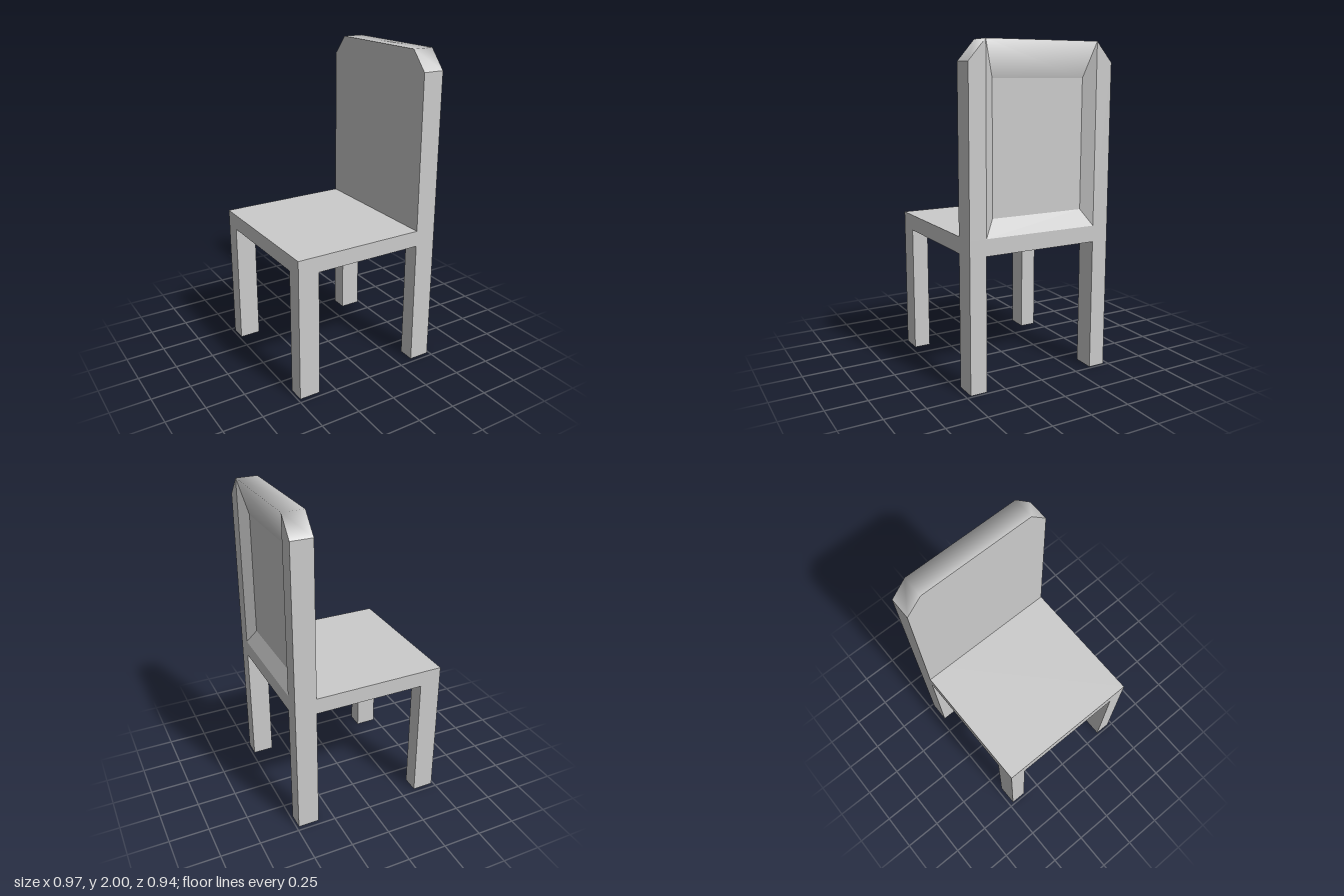
import * as THREE from 'three';

const material = new THREE.MeshStandardMaterial({ color: 0xcccccc });

// overall extents; the chair looks toward -x
const X = 0.485, Z = 0.47, LEG_X = 0.135, LEG_Z = 0.105;
const FRONT = X - LEG_X, INNER = Z - LEG_Z;
const SEAT_LOW = 0.81, SEAT = 0.91, SHOULDER = 1.88, TOP = 2;
// sunken panel on the rear of the backrest
const PX = 0.435, PZ = 0.3, P_LOW = 1.01, P_HIGH = 1.79;

function add(parent, name, geometry) {
  const mesh = new THREE.Mesh(geometry, material);
  mesh.name = name;
  parent.add(mesh);
  return mesh;
}

function box(parent, name, sx, sy, sz, x, y, z) {
  add(parent, name, new THREE.BoxGeometry(sx, sy, sz)).position.set(x, y, z);
}

// convex polygons, corners counter-clockwise; sharing points gives smooth normals
function polygons(points, faces, smooth) {
  const index = [];
  for (const f of faces) {
    for (let i = 1; i < f.length - 1; i++) index.push(f[0], f[i], f[i + 1]);
  }
  let g = new THREE.BufferGeometry();
  g.setAttribute('position', new THREE.Float32BufferAttribute(points.flat(), 3));
  g.setIndex(index);
  if (!smooth) g = g.toNonIndexed();
  g.computeVertexNormals();
  return g;
}

function flatFace(points) {
  return polygons(points, [points.map((_, i) => i)], false);
}

// face on the +z side plus its mirror on the -z side
function mirroredFace(parent, name, points) {
  add(parent, name + 'Left', flatFace(points));
  add(parent, name + 'Right', flatFace(points.map(([x, y, z]) => [x, y, -z]).reverse()));
}

function createBackrest() {
  const back = new THREE.Group();
  back.name = 'backrest';

  // flat face behind the sitter, with clipped top corners
  add(back, 'backrestFront', flatFace([
    [FRONT, SEAT, -Z], [FRONT, SEAT, Z], [FRONT, SHOULDER, Z],
    [FRONT, TOP, INNER], [FRONT, TOP, -INNER], [FRONT, SHOULDER, -Z],
  ]));

  // outer edges, rear of the posts and bevels into the panel
  mirroredFace(back, 'backrestSide', [
    [FRONT, SEAT, Z], [X, SEAT, Z], [X, SHOULDER, Z], [FRONT, SHOULDER, Z],
  ]);
  mirroredFace(back, 'postRear', [
    [X, SEAT, Z], [X, SEAT, INNER], [X, TOP, INNER], [X, SHOULDER, Z],
  ]);
  mirroredFace(back, 'panelSideBevel', [
    [X, SEAT, INNER], [PX, P_LOW, PZ], [PX, P_HIGH, PZ], [X, TOP, INNER],
  ]);

  add(back, 'panelLowerBevel', flatFace([
    [X, SEAT, INNER], [X, SEAT, -INNER], [PX, P_LOW, -PZ], [PX, P_LOW, PZ],
  ]));
  add(back, 'rearPanel', flatFace([
    [PX, P_LOW, PZ], [PX, P_LOW, -PZ], [PX, P_HIGH, -PZ], [PX, P_HIGH, PZ],
  ]));

  // top edge, clipped corners and upper bevel shade smoothly together
  const points = [];
  for (const [y, z] of [[SHOULDER, -Z], [TOP, -INNER], [TOP, INNER], [SHOULDER, Z]]) {
    points.push([FRONT, y, z], [X, y, z]);
  }
  points.push([PX, P_HIGH, -PZ], [PX, P_HIGH, PZ]);
  const faces = [0, 2, 4].map((i) => [i, i + 2, i + 3, i + 1]);
  faces.push([5, 9, 8, 3]);
  add(back, 'topRail', polygons(points, faces, true));
  return back;
}

export function createModel() {
  const chair = new THREE.Group();
  chair.name = 'chair';

  box(chair, 'seat', 2 * X, SEAT - SEAT_LOW, 2 * Z, 0, (SEAT + SEAT_LOW) / 2, 0);

  for (const [name, sx] of [['frontLeg', -1], ['backLeg', 1]]) {
    for (const sz of [-1, 1]) {
      box(chair, name, LEG_X, SEAT_LOW, LEG_Z,
        sx * (X - LEG_X / 2), SEAT_LOW / 2, sz * (Z - LEG_Z / 2));
    }
  }

  chair.add(createBackrest());
  return chair;
}
